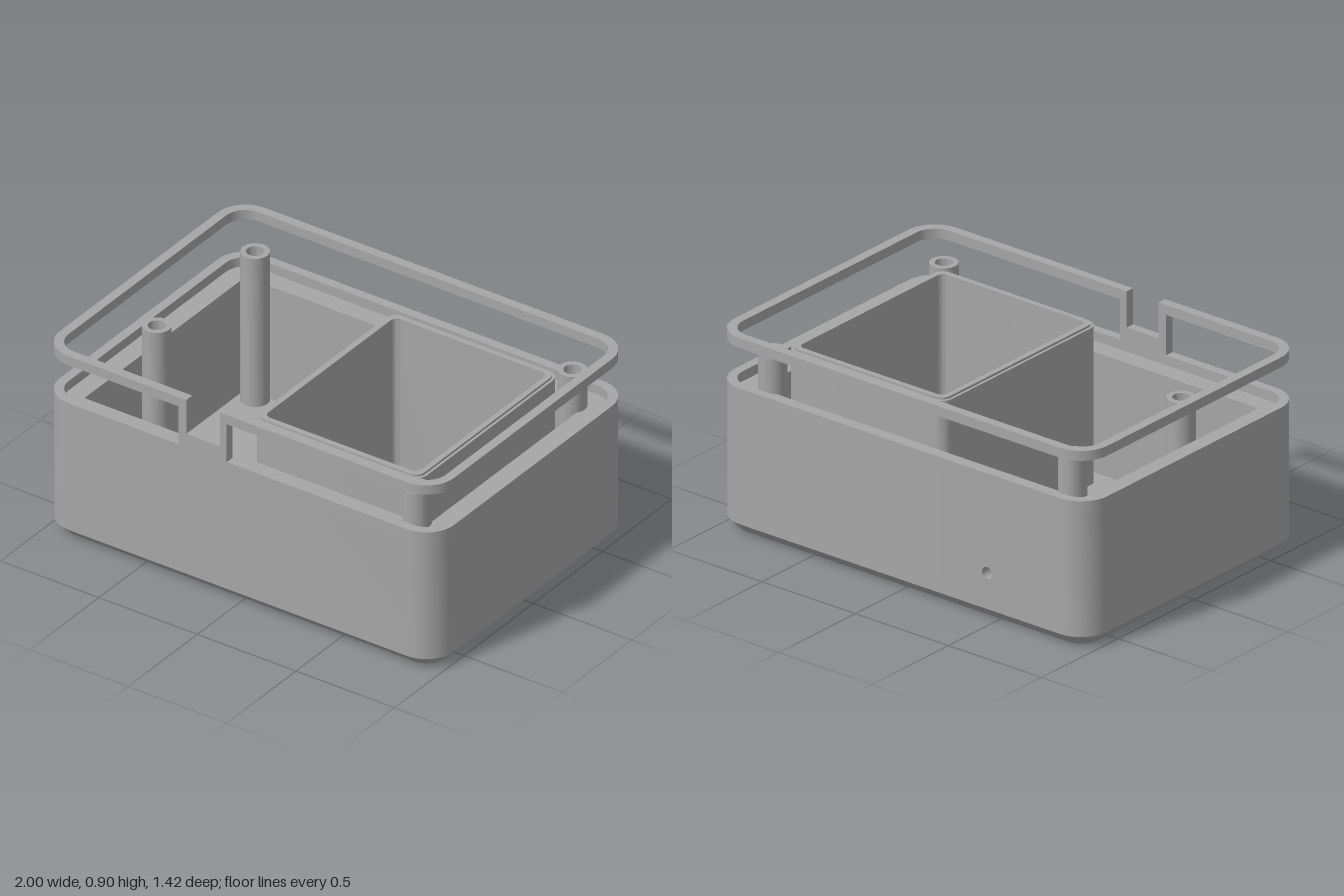
import * as THREE from 'three';
import { toCreasedNormals } from 'three/addons/utils/BufferGeometryUtils.js';

const grey = new THREE.MeshStandardMaterial({ color: 0xa6a6a6 });
grey.name = 'grey plastic';

// Rounded rectangle as a list of points, counter-clockwise from the upper right corner
function roundRect(x, y, r, cx = 0, cy = 0, steps = 10) {
  const pts = [];
  const n = r > 0 ? steps : 0;
  [[1, 1], [-1, 1], [-1, -1], [1, -1]].forEach(([sx, sy], q) => {
    for (let i = 0; i <= n; i++) {
      const a = (q + (n ? i / n : 0)) * Math.PI / 2;
      pts.push(new THREE.Vector2(cx + sx * (x - r) + r * Math.cos(a), cy + sy * (y - r) + r * Math.sin(a)));
    }
  });
  return pts;
}

function circle(x, y, r, n = 28) {
  return Array.from({ length: n }, (_, i) => {
    const a = i / n * Math.PI * 2;
    return new THREE.Vector2(x + r * Math.cos(a), y + r * Math.sin(a));
  });
}

function extrude(points, holes, depth) {
  const shape = new THREE.Shape(points);
  shape.holes = holes.map(h => new THREE.Path(h));
  return new THREE.ExtrudeGeometry(shape, { depth, bevelEnabled: false });
}

// Upright prism between two heights, plan y pointing to the back
function prism(points, holes, y0, y1) {
  return extrude(points, holes, y1 - y0).rotateX(-Math.PI / 2).translate(0, y0, 0);
}

// Ring outline cut open between x0 and x1 on its +y side
function openRing(outer, inner, x0, x1) {
  const split = pts => {
    const first = pts.length / 4;
    return [...pts.slice(first), ...pts.slice(0, first)];
  };
  const o = split(outer), i = split(inner);
  const yo = o[0].y, yi = i[0].y;
  return [new THREE.Vector2(x0, yo), ...o, new THREE.Vector2(x1, yo),
    new THREE.Vector2(x1, yi), ...i.reverse(), new THREE.Vector2(x0, yi)];
}

// Sloping band between two outlines with the same number of points
function loft(low, y0, high, y1) {
  const pos = [], index = [], n = low.length;
  for (let i = 0; i < n; i++) {
    pos.push(low[i].x, y0, -low[i].y, high[i].x, y1, -high[i].y);
    const a = 2 * i, b = 2 * ((i + 1) % n);
    index.push(a, b, b + 1, a, b + 1, a + 1);
  }
  const g = new THREE.BufferGeometry();
  g.setAttribute('position', new THREE.Float32BufferAttribute(pos, 3));
  g.setIndex(index);
  return g;
}

export function createModel() {
  const model = new THREE.Group();
  model.name = 'enclosure';
  const add = (name, geometry) => {
    const mesh = new THREE.Mesh(toCreasedNormals(geometry, 0.5), grey);
    mesh.name = name;
    model.add(mesh);
  };

  const outer = roundRect(1, 0.71, 0.14);
  const lip = roundRect(0.957, 0.667, 0.097);
  const cavity = roundRect(0.868, 0.58, 0);
  const base = roundRect(0.945, 0.655, 0.085);
  const floorTop = 0.08, chamfer = 0.055, ledge = 0.63, rim = 0.675;

  // Floor with speaker vent and two narrow slots
  const holes = [];
  [4, 7, 8, 9, 10, 9, 10, 9, 8, 7, 4].forEach((count, row) => {
    for (let i = 0; i < count; i++) {
      holes.push(circle(0.385 + (i - (count - 1) / 2) * 0.0535, -0.02 + (5 - row) * 0.0463, 0.021, 12));
    }
  });
  for (const x of [-0.64, -0.295]) holes.push(roundRect(0.07, 0.006, 0, x, 0.576));
  add('floor', prism(base, holes, 0, floorTop));
  add('bottomChamfer', loft(base, 0, outer, chamfer));

  // Walls, with a drilled panel let into the back
  const gap = [-0.56, -0.38];
  add('walls', prism(openRing(outer, cavity, ...gap), [], chamfer, ledge));
  const panel = [[gap[0], chamfer], [gap[1], chamfer], [gap[1], ledge], [gap[0], ledge]]
    .map(p => new THREE.Vector2(...p));
  add('backPanel', extrude(panel, [circle(-0.47, 0.22, 0.027)], 0.13).translate(0, 0, -0.71));
  add('wallRim', prism(outer, [lip], ledge, rim));

  // Raised hoop, open at the front
  const hoop = extrude(openRing(outer, lip, -0.26, -0.09), [], 0.045);
  add('upperHoop', hoop.rotateX(Math.PI / 2).translate(0, 0.905, 0));

  // Notched bracket joining the hoop to the front wall
  const bracket = [[-0.3, rim], [-0.055, rim], [-0.055, 0.86], [-0.09, 0.86],
    [-0.09, 0.74], [-0.26, 0.74], [-0.26, 0.86], [-0.3, 0.86]].map(p => new THREE.Vector2(...p));
  add('frontBracket', extrude(bracket, [], 0.043).translate(0, 0, 0.667));

  // Inner speaker chamber with a small step along its top edge
  const tray = (inset, r) => roundRect(0.425 - inset, 0.508 - inset, r, 0.37, -0.021);
  add('chamberWall', prism(tray(0, 0.055), [tray(0.037, 0.03)], floorTop, 0.795));
  add('chamberLip', prism(tray(0.012, 0.045), [tray(0.037, 0.03)], 0.795, 0.805));

  // Screw posts
  const post = (name, x, z, top) =>
    add(name, prism(circle(x, -z, 0.062), [circle(x, -z, 0.038)], floorTop, top));
  for (const [x, z] of [[-0.79, -0.54], [0.82, -0.54], [-0.79, 0.17], [0.82, 0.58]]) {
    post('lidPost', x, z, 0.805);
  }
  for (const x of [0.1, 0.665]) for (const z of [-0.265, 0.3]) post('speakerPost', x, z, 0.18);

  return model;
}
